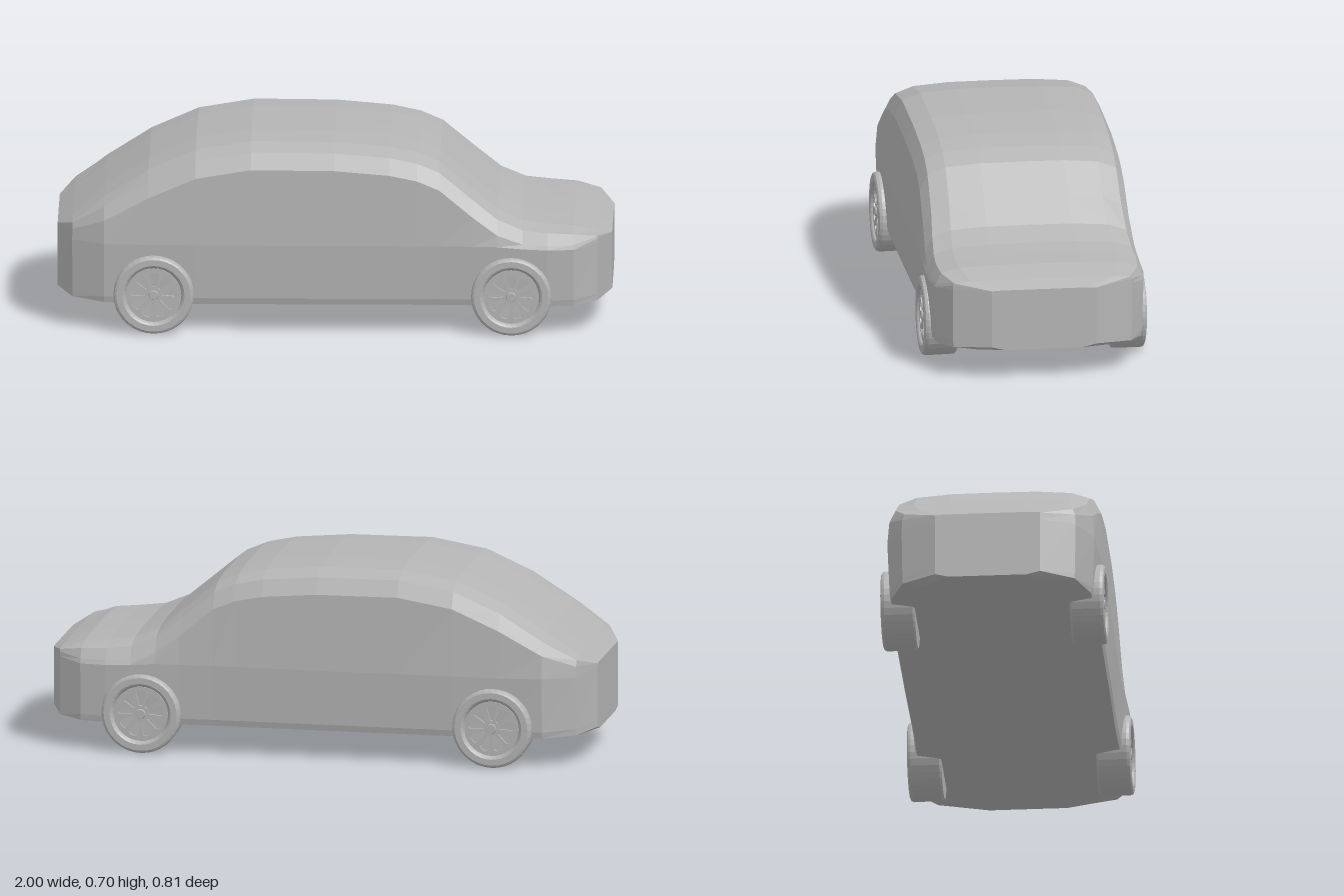
import * as THREE from 'three';

const paint = new THREE.MeshStandardMaterial({ color: 0xb4b4b4, flatShading: true });
paint.name = 'grey';

// Body stations along the length: x, half width, bottom, top, shoulder softness
const stations = [
  [-1, 0.19, 0.112, 0.36, 0], [-0.945, 0.315, 0.104, 0.405, 0.35], [-0.83, 0.375, 0.097, 0.49, 0.8],
  [-0.67, 0.382, 0.095, 0.595, 1], [-0.5, 0.385, 0.094, 0.67, 1], [-0.3, 0.385, 0.094, 0.704, 1],
  [0, 0.384, 0.094, 0.702, 1], [0.2, 0.382, 0.094, 0.685, 1], [0.3, 0.381, 0.094, 0.664, 1],
  [0.38, 0.381, 0.094, 0.63, 1], [0.5, 0.384, 0.094, 0.53, 1], [0.59, 0.388, 0.094, 0.455, 0.9],
  [0.68, 0.391, 0.094, 0.415, 0.8], [0.77, 0.391, 0.094, 0.402, 0.7], [0.865, 0.38, 0.096, 0.393, 0.6],
  [0.95, 0.325, 0.104, 0.362, 0.12], [1, 0.19, 0.112, 0.337, 0],
];

// Cross-section as [z, y], from the underside centre round the +z side and back
function section(w, bottom, top, soft) {
  const belt = Math.min(0.33, top - 0.09 * soft - 0.02);
  const cut = (full, amount) => w * (1 - (1 - full) * amount);
  const half = [
    [w * 0.74, bottom],
    [cut(0.955, soft), bottom + 0.012],
    [cut(0.972, soft), bottom + 0.035],
    [w, belt],
    [cut(0.975, soft), top - 0.09 * soft - 0.004],
    [cut(0.9, soft), top - 0.034 * soft - 0.002],
    [cut(0.9, soft) * 0.81, top - 0.011 * soft],
    [w * 0.4, top - 0.001 * soft],
  ];
  const mirrored = half.map(([z, y]) => [-z, y]).reverse();
  return [[0, bottom], ...half, [0, top], ...mirrored];
}

function bodyGeometry() {
  const rings = stations.map(([x, ...rest]) => section(...rest).map(([z, y]) => [x, y, z]));
  const n = rings[0].length, last = (rings.length - 1) * n;
  const index = [];
  for (let i = 0; i < rings.length - 1; i++) {
    for (let j = 0; j < n; j++) {
      const k = (j + 1) % n;
      const a = i * n + j, b = i * n + k, c = b + n, d = a + n;
      index.push(a, d, c, a, c, b);
    }
  }
  // Nose and tail faces
  for (let j = 1; j < n - 1; j++) index.push(0, j, j + 1, last, last + j + 1, last + j);
  const geo = new THREE.BufferGeometry();
  geo.setAttribute('position', new THREE.Float32BufferAttribute(rings.flat(2), 3));
  geo.setIndex(index);
  const flat = geo.toNonIndexed();
  flat.computeVertexNormals();
  return flat;
}

function mesh(geometry, name) {
  const m = new THREE.Mesh(geometry, paint);
  m.name = name;
  return m;
}

// Tyre with a rounded edge and a shallow dished rim, axis along z, outer face at +z
function tyreGeometry() {
  const profile = [
    [0, -0.06], [0.136, -0.06], [0.143, -0.052], [0.145, 0.05], [0.141, 0.06],
    [0.134, 0.064], [0.112, 0.064], [0.106, 0.06], [0.1, 0.05], [0.09, 0.046], [0, 0.042],
  ].map(([r, h]) => new THREE.Vector2(r, h));
  return new THREE.LatheGeometry(profile, 36).rotateX(Math.PI / 2);
}

// Rim disc with nine tapered openings between the spokes
function spokesGeometry() {
  const disc = new THREE.Shape().absarc(0, 0, 0.1, 0, Math.PI * 2);
  for (let i = 0; i < 9; i++) {
    const a = Math.PI / 2 + (i * Math.PI * 2) / 9;
    const points = [[0.03, -0.006], [0.076, -0.018], [0.084, -0.009], [0.084, 0.009], [0.076, 0.018], [0.03, 0.006]];
    disc.holes.push(new THREE.Path(points.map(([r, s]) => new THREE.Vector2(
      r * Math.cos(a) - s * Math.sin(a), r * Math.sin(a) + s * Math.cos(a)))));
  }
  return new THREE.ExtrudeGeometry(disc, { depth: 0.009, bevelEnabled: false, curveSegments: 18 });
}

export function createModel() {
  const car = new THREE.Group();
  car.name = 'car';
  car.add(mesh(bodyGeometry(), 'body'));

  const tyre = tyreGeometry();
  const spokes = spokesGeometry().translate(0, 0, 0.045);
  const hub = new THREE.CylinderGeometry(0.016, 0.019, 0.008, 16).rotateX(Math.PI / 2).translate(0, 0, 0.056);

  // Four wheels, the far pair turned round so the rims face outward
  for (const [x, end] of [[0.64, 'front'], [-0.65, 'rear']]) {
    for (const side of [1, -1]) {
      const wheel = new THREE.Group();
      wheel.name = end + (side > 0 ? 'Right' : 'Left') + 'Wheel';
      wheel.add(mesh(tyre, 'tyre'), mesh(spokes, 'rimSpokes'), mesh(hub, 'hubCap'));
      wheel.position.set(x, 0.145, side * 0.34);
      if (side < 0) wheel.rotation.y = Math.PI;
      car.add(wheel);
    }
  }
  return car;
}
